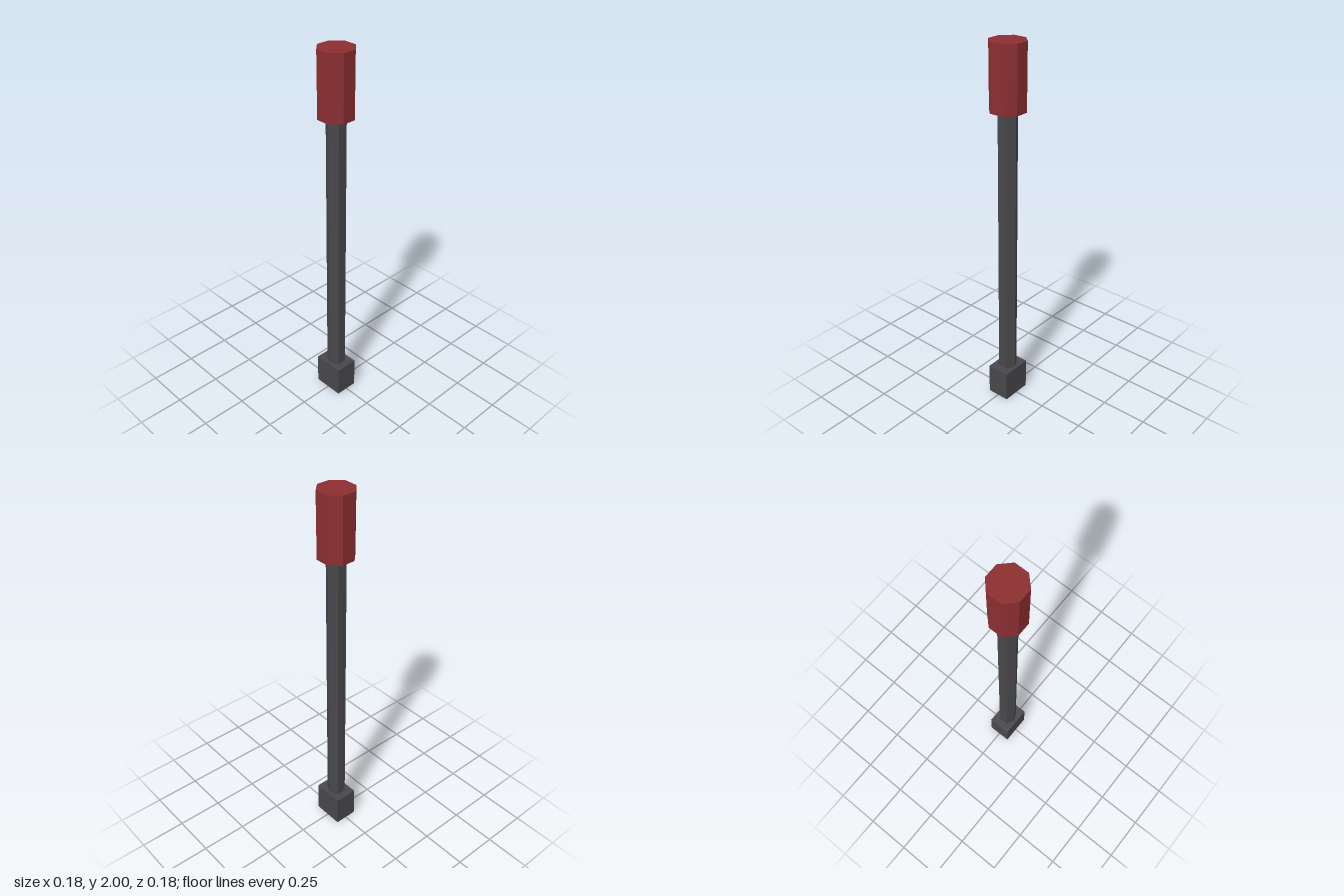
import * as THREE from 'three';

export function createModel() {
  const model = new THREE.Group();
  const darkMetal = new THREE.MeshStandardMaterial({ color: 0x48484c, flatShading: true });
  darkMetal.name = 'darkMetal';
  const redGrip = new THREE.MeshStandardMaterial({ color: 0x8b2e30, flatShading: true });
  redGrip.name = 'redGrip';

  const add = (name, geometry, material, bottom, top) => {
    const mesh = new THREE.Mesh(geometry, material);
    mesh.name = name;
    mesh.position.y = (bottom + top) / 2;
    model.add(mesh);
  };

  // Upright prism with the given number of sides, turned about its axis
  const prism = (radius, height, sides, turn) =>
    new THREE.CylinderGeometry(radius, radius, height, sides).rotateY(turn);

  const baseTop = 0.172, gripBottom = 1.661, height = 2;

  // Block at the foot
  add('base', new THREE.BoxGeometry(0.127, baseTop, 0.17), darkMetal, 0, baseTop);

  // Six-sided rod with corners at the left and right
  add('shaft', prism(0.052, gripBottom - baseTop, 6, Math.PI / 6), darkMetal, baseTop, gripBottom);

  // Eight-sided grip with flats facing front and sides
  const gripRadius = 0.088 / Math.cos(Math.PI / 8);
  add('grip', prism(gripRadius, height - gripBottom, 8, Math.PI / 8), redGrip, gripBottom, height);

  return model;
}
